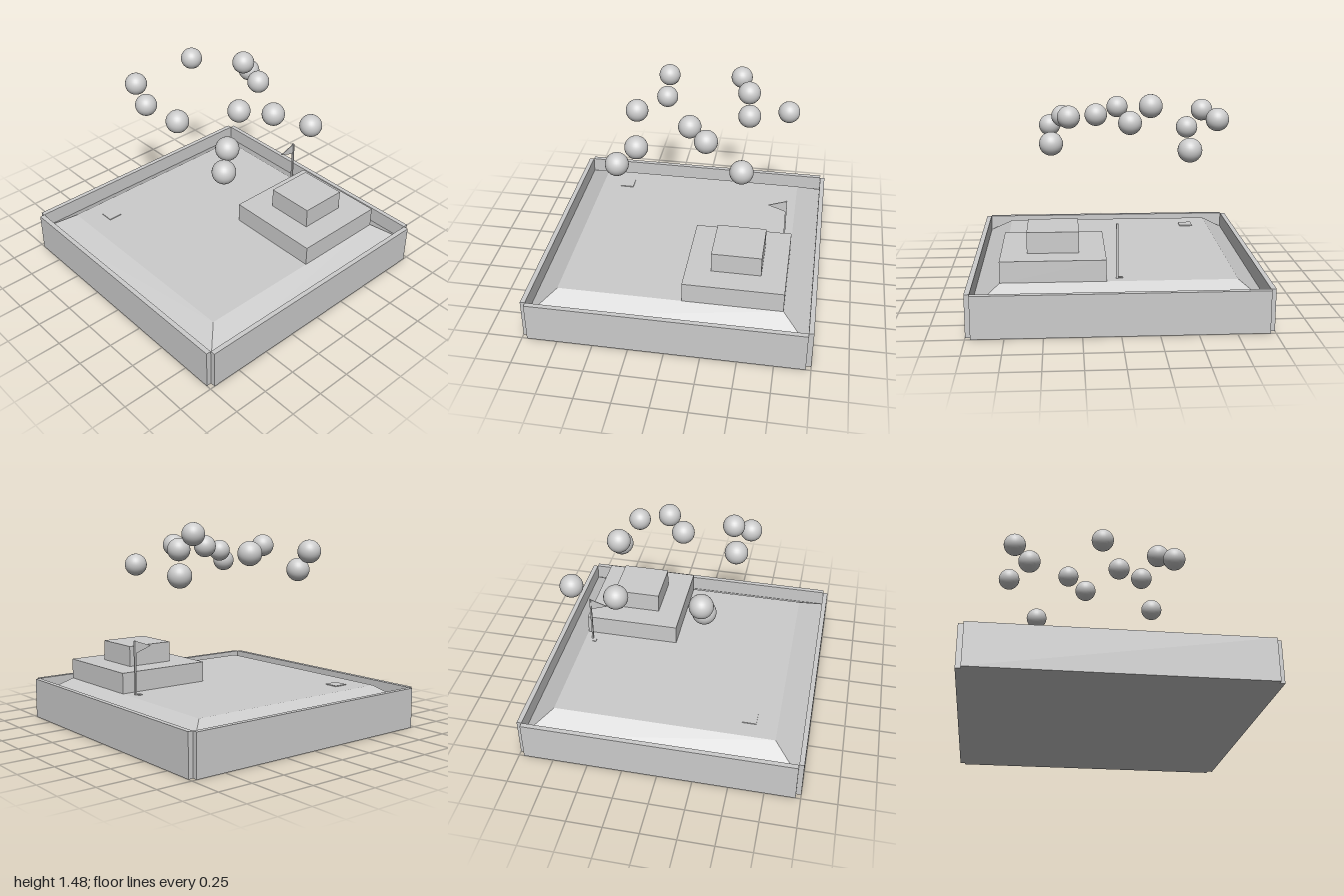
import * as THREE from 'three';

export function createModel() {
  const model = new THREE.Group();
  const grey = new THREE.MeshStandardMaterial({ color: 0xcccccc });
  grey.name = 'light grey';
  const greyThin = new THREE.MeshStandardMaterial({ color: 0xcccccc, side: THREE.DoubleSide });
  greyThin.name = 'light grey thin';

  const add = (name, geometry, x = 0, y = 0, z = 0, material = grey) => {
    const mesh = new THREE.Mesh(geometry, material);
    mesh.name = name;
    mesh.position.set(x, y, z);
    model.add(mesh);
    return mesh;
  };
  // Box given by its limits on each axis
  const box = (name, [x0, x1], [y0, y1], [z0, z1]) =>
    add(name, new THREE.BoxGeometry(x1 - x0, y1 - y0, z1 - z0),
      (x0 + x1) / 2, (y0 + y1) / 2, (z0 + z1) / 2);

  // Ground: flat base below a plateau with sloping banks
  const inner = 0.965, plateau = 0.785, bankFoot = 0.175, ground = 0.3;
  box('base', [-inner, inner], [0, bankFoot], [-inner, inner]);
  const bank = new THREE.CylinderGeometry(
    plateau * Math.SQRT2, inner * Math.SQRT2, ground - bankFoot, 4)
    .rotateY(Math.PI / 4).toNonIndexed();
  bank.computeVertexNormals();
  add('plateau', bank, 0, (ground + bankFoot) / 2, 0);

  // Four border walls with open notches at the corners
  for (const s of [-1, 1]) {
    const span = s < 0 ? [-1, -inner] : [inner, 1];
    box('sideWall', span, [0, 0.29], [-inner, inner]);
    box('endWall', [-inner, inner], [0, 0.29], span);
  }

  // Two-step block
  box('lowerStep', [0.085, 0.785], [0.295, 0.445], [-0.785, -0.09]);
  box('upperStep', [0.262, 0.61], [0.445, 0.59], [-0.612, -0.265]);

  // Flagpole, its foot and the pennant
  box('flagPole', [0.004, 0.02], [ground, 0.675], [-0.735, -0.724]);
  box('flagFoot', [-0.025, 0.008], [ground, 0.306], [-0.725, -0.697]);
  const pennant = new THREE.Shape([
    new THREE.Vector2(0.73, 0.675),
    new THREE.Vector2(0.73, 0.585),
    new THREE.Vector2(0.6, 0.63),
  ]);
  const flag = new THREE.ExtrudeGeometry(pennant, { depth: 0.006, bevelEnabled: false });
  flag.rotateY(Math.PI / 2); // shape x becomes -z
  add('flag', flag, 0.009, 0, 0, greyThin);

  // Small starting tile
  box('startTile', [-0.663, -0.563], [ground, 0.306], [0.535, 0.636]);

  // Floating balls
  const ball = new THREE.SphereGeometry(0.08, 32, 16);
  [
    [-0.46, 1.15, -0.69], [-0.23, 1.4, -0.41], [-0.09, 1.29, -0.43],
    [-0.7, 1.29, -0.31], [0.44, 1.155, -0.435], [0.32, 1.295, -0.18],
    [0.125, 1.29, -0.04], [-0.675, 1.28, 0.24], [-0.565, 1.15, 0.24],
    [-0.05, 1.29, 0.365], [0.365, 1.235, 0.285], [0.46, 1.15, 0.4],
  ].forEach(([x, y, z]) => add('ball', ball, x, y, z));

  return model;
}
